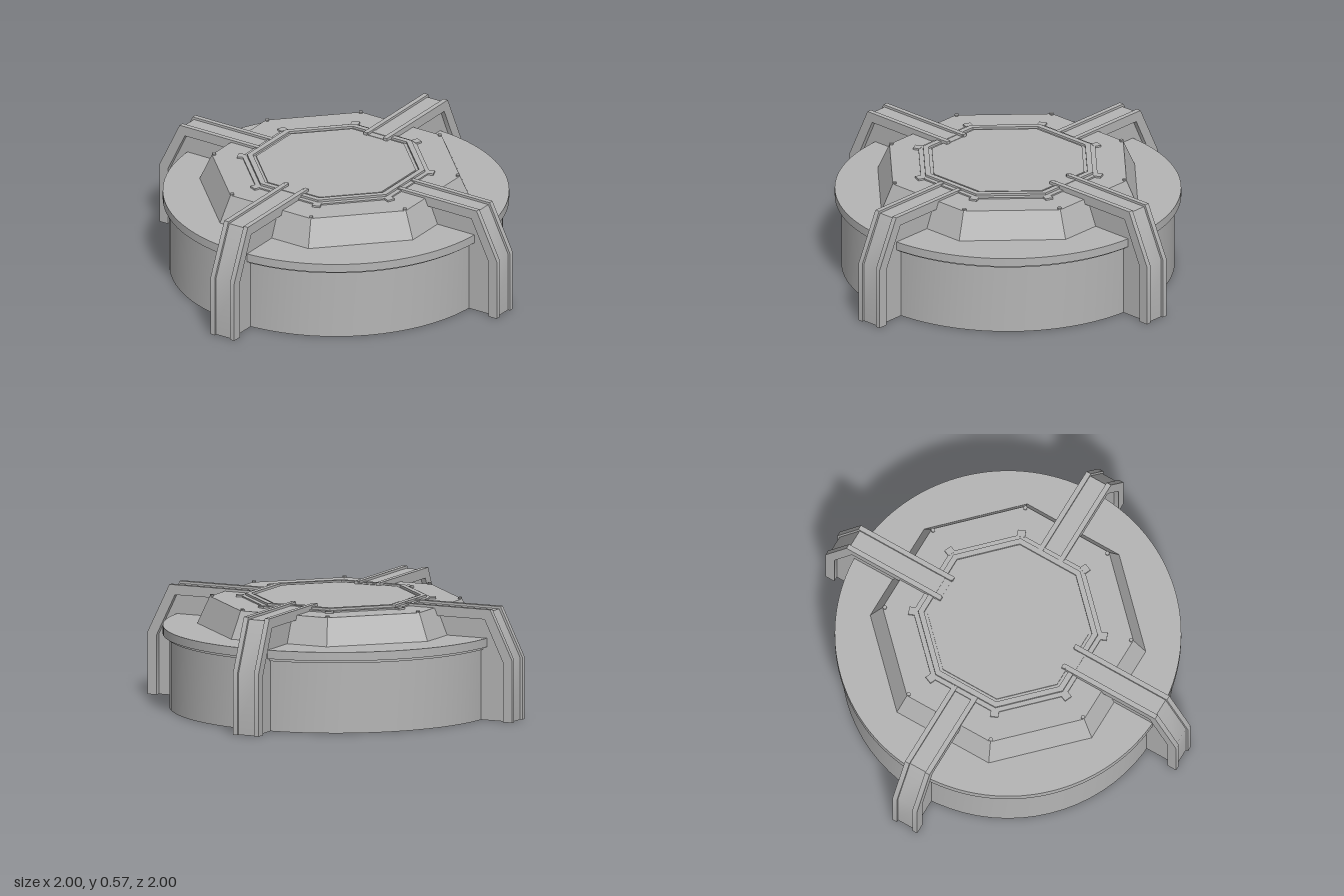
import * as THREE from 'three';
import { toCreasedNormals } from 'three/addons/utils/BufferGeometryUtils.js';

const steel = new THREE.MeshStandardMaterial({ color: 0xb4b4b4, side: THREE.DoubleSide });
steel.name = 'steel grey';

const OCT = Math.cos(Math.PI / 8);

function add(parent, name, geo, x = 0, y = 0, z = 0) {
  const mesh = new THREE.Mesh(toCreasedNormals(geo, 0.5), steel);
  mesh.name = name;
  mesh.position.set(x, y, z);
  parent.add(mesh);
  return mesh;
}

// Octagon corners for a given distance from centre to flat side
function octagon(apothem) {
  return Array.from({ length: 8 }, (_, i) => {
    const a = Math.PI / 8 + (i * Math.PI) / 4;
    return new THREE.Vector2(Math.cos(a), Math.sin(a)).multiplyScalar(apothem / OCT);
  });
}

// Flat slab lying between heights y0 and y1
function slab(shape, holeApothem, y0, y1) {
  if (holeApothem) shape.holes.push(new THREE.Path(octagon(holeApothem)));
  const geo = new THREE.ExtrudeGeometry(shape, { depth: y1 - y0, bevelEnabled: false, curveSegments: 72 });
  return geo.rotateX(-Math.PI / 2).translate(0, y0, 0);
}
const octSlab = (apothem, hole, y0, y1) => slab(new THREE.Shape(octagon(apothem)), hole, y0, y1);

// Outline of a bent beam, moved inwards by d
function beamLine(d, end, top) {
  return [[1 - d, 0], [1 - d, 0.31 - 0.236 * d], [0.88 - 0.618 * d, top - d], [end, top - d]];
}

function beamPart(points, z0, z1) {
  const shape = new THREE.Shape(points.map(([x, y]) => new THREE.Vector2(x, y)));
  const geo = new THREE.ExtrudeGeometry(shape, { depth: z1 - z0, bevelEnabled: false });
  return geo.translate(0, 0, z0);
}

// Band between two offsets of the beam outline
function band(d0, d1, end, top) {
  return [...beamLine(d0, end, top), ...beamLine(d1, end, top).reverse()];
}

function makeBeam(end, top) {
  const beam = new THREE.Group();
  beam.name = 'supportBeam';
  add(beam, 'beamFlange', beamPart(band(0.012, 0.05, end, top), -0.07, 0.07));
  // raised edges leave a shallow channel along the outside
  add(beam, 'beamEdgeLeft', beamPart(band(0, 0.012, end, top), 0.045, 0.07));
  add(beam, 'beamEdgeRight', beamPart(band(0, 0.012, end, top), -0.07, -0.045));
  // web joining the flange to the drum and the dome
  const web = [...beamLine(0.045, end + 0.03, top),
    [end + 0.03, 0.5], [0.57, 0.5], [0.61, 0.355], [0.81, 0.355], [0.81, 0]];
  add(beam, 'beamWeb', beamPart(web, -0.045, 0.045));
  for (const s of [-1, 1]) {
    add(beam, 'beamEndClip', new THREE.BoxGeometry(0.02, 0.025, 0.02), end + 0.005, top - 0.012, s * 0.06);
  }
  return beam;
}

export function createModel() {
  const model = new THREE.Group();
  model.name = 'roundHatch';

  // Open drum and its overhanging rim deck
  add(model, 'drumWall', new THREE.CylinderGeometry(0.82, 0.82, 0.37, 72, 1, true), 0, 0.185, 0);
  add(model, 'drumCollar', new THREE.CylinderGeometry(0.832, 0.832, 0.012, 72, 1, true), 0, 0.357, 0);
  const disc = new THREE.Shape().absarc(0, 0, 0.852, 0, Math.PI * 2);
  add(model, 'rimDeck', slab(disc, 0.61, 0.365, 0.408));

  // Hollow eight-sided dome with flat top
  const sides = new THREE.CylinderGeometry(0.575 / OCT, 0.632 / OCT, 0.135, 8, 1, true);
  add(model, 'domeSides', sides.rotateY(Math.PI / 8), 0, 0.4755, 0);
  add(model, 'domeTop', octSlab(0.575, 0, 0.53, 0.543));

  // Stepped frame and lid
  add(model, 'frameStep', octSlab(0.435, 0.36, 0.54, 0.55));
  add(model, 'frameRing', octSlab(0.412, 0.385, 0.54, 0.561));
  add(model, 'lid', octSlab(0.37, 0, 0.54, 0.556));

  // Frame corner brackets and dome corner rivets
  for (let i = 0; i < 8; i++) {
    const a = Math.PI / 8 + (i * Math.PI) / 4;
    const c = Math.cos(a), s = Math.sin(a);
    const bracket = add(model, 'cornerBracket', new THREE.BoxGeometry(0.035, 0.012, 0.04), c * 0.475, 0.546, s * 0.475);
    bracket.rotation.y = -a;
    add(model, 'cornerRivet', new THREE.CylinderGeometry(0.01, 0.01, 0.014, 10), c * 0.612, 0.545, s * 0.612);
  }

  // Four bent beams; the front and back pair sits slightly higher
  for (let i = 0; i < 4; i++) {
    const beam = i % 2 ? makeBeam(0.35, 0.57) : makeBeam(0.4, 0.555);
    beam.rotation.y = (i * Math.PI) / 2;
    model.add(beam);
  }
  return model;
}
